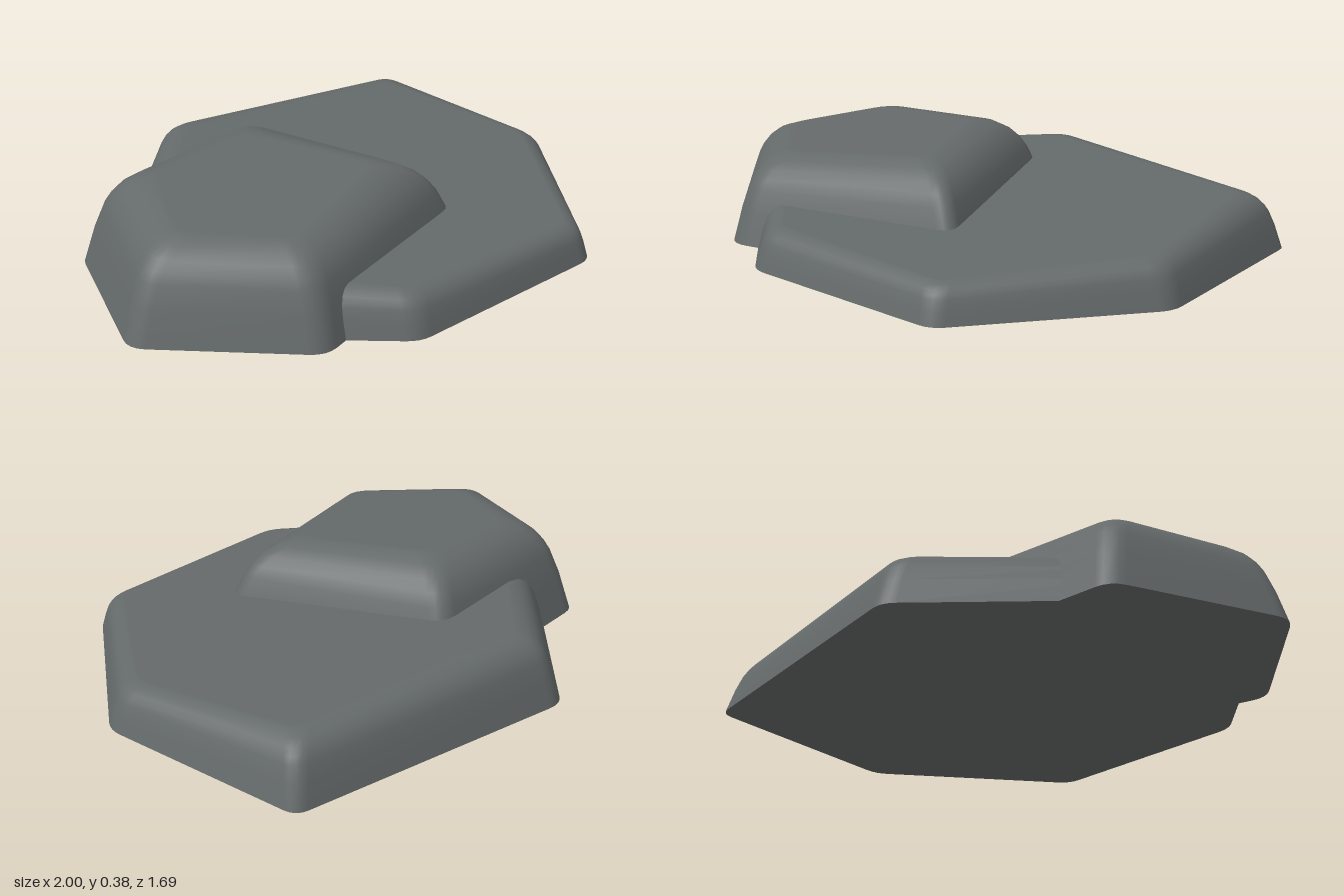
import * as THREE from 'three';

const stone = new THREE.MeshStandardMaterial({ color: 0x646969 });
stone.name = 'slate grey stone';

// Bevel profile: [inset as a share of the height, share of the height]
const PROFILE = [[0, 0], [0.11, 0.4], [0.2, 0.65], [0.26, 0.76], [0.34, 0.86], [0.46, 0.95], [0.62, 1], [0.7, 1]];

// Moves each corner inward by its own mitred distance
function insetCorners(corners, distance) {
  const n = corners.length;
  const inward = (a, b) => {
    const len = Math.hypot(b[0] - a[0], b[1] - a[1]);
    return [-(b[1] - a[1]) / len, (b[0] - a[0]) / len];
  };
  return corners.map((c, i) => {
    const p = inward(corners[(i + n - 1) % n], c);
    const q = inward(c, corners[(i + 1) % n]);
    const k = distance(c) / (1 + p[0] * q[0] + p[1] * q[1]);
    return [c[0] + (p[0] + q[0]) * k, c[1] + (p[1] + q[1]) * k];
  });
}

// Replaces each corner by a short curve
function roundCorners(corners, radius, steps = 4) {
  const n = corners.length;
  const out = [];
  corners.forEach((c, i) => {
    const v = new THREE.Vector2(...c);
    const toward = (p) => new THREE.Vector2(...p).sub(v).setLength(radius).add(v);
    const curve = new THREE.QuadraticBezierCurve(
      toward(corners[(i + n - 1) % n]), v, toward(corners[(i + 1) % n]));
    out.push(...curve.getPoints(steps));
  });
  return out;
}

// Rock with tapered, softly bevelled sides and a tilted flat top
function makeRock(name, corners, height, radius) {
  const positions = [];
  const indices = [];
  let count = 0;
  for (const [inset, share] of PROFILE) {
    const ring = roundCorners(insetCorners(corners, ([x, z]) => inset * height(x, z)), radius);
    count = ring.length;
    ring.forEach((p) => positions.push(p.x, share * height(p.x, p.y), p.y));
  }
  const rings = PROFILE.length;
  for (let r = 0; r < rings - 1; r++) {
    for (let i = 0; i < count; i++) {
      const j = (i + 1) % count;
      const b = r * count;
      const u = b + count;
      indices.push(b + j, b + i, u + i, b + j, u + i, u + j);
    }
  }

  // Top cap shares the last ring, the underside has its own sharp rim
  const last = (rings - 1) * count;
  const cx = corners.reduce((s, c) => s + c[0], 0) / corners.length;
  const cz = corners.reduce((s, c) => s + c[1], 0) / corners.length;
  const top = positions.length / 3;
  positions.push(cx, height(cx, cz), cz, cx, 0, cz);
  const rim = top + 2;
  positions.push(...positions.slice(0, count * 3));
  for (let i = 0; i < count; i++) {
    const j = (i + 1) % count;
    indices.push(top, last + j, last + i, top + 1, rim + i, rim + j);
  }

  const geometry = new THREE.BufferGeometry();
  geometry.setAttribute('position', new THREE.Float32BufferAttribute(positions, 3));
  geometry.setIndex(indices);
  geometry.computeVertexNormals();
  const mesh = new THREE.Mesh(geometry, stone);
  mesh.name = name;
  return mesh;
}

export function createModel() {
  const group = new THREE.Group();
  group.name = 'flatRocks';

  // Wide low slab; its left end is buried in the upper rock
  group.add(makeRock('lowerSlab', [
    [-0.39, -0.785], [0.75, -0.855], [1.01, -0.07], [0.68, 0.67],
    [-0.15, 0.85], [-0.8, 0.46], [-0.86, -0.08],
  ], (x, z) => 0.19 - 0.037 * x - 0.062 * z, 0.05));

  // Smaller, taller rock overlapping the slab
  group.add(makeRock('upperRock', [
    [-0.91, -0.245], [-0.13, -0.48], [0.37, 0.34], [-0.46, 0.775], [-1.01, 0.42],
  ], (x, z) => 0.374 + 0.026 * x - 0.08 * z, 0.06));

  return group;
}
